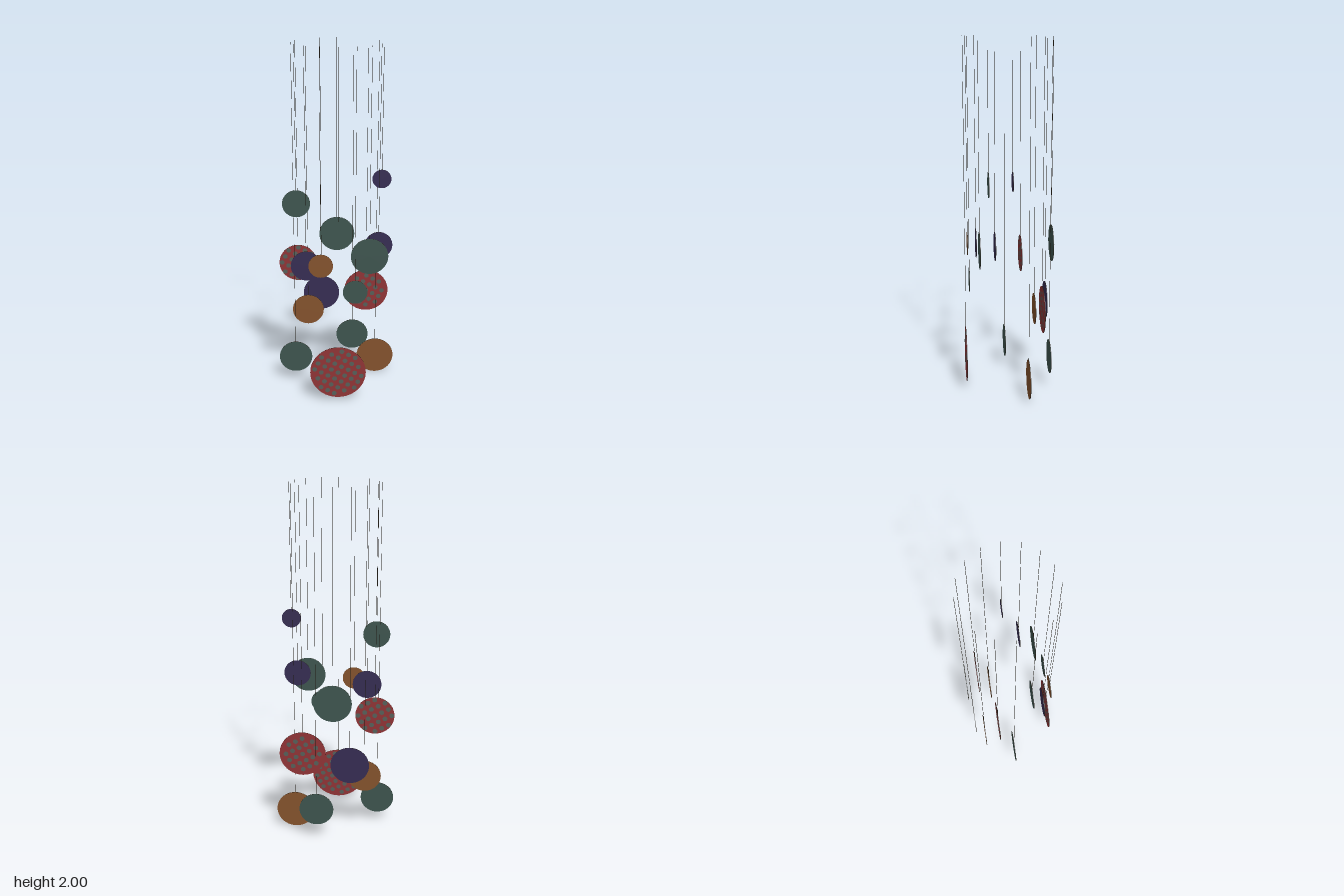
import * as THREE from 'three';

const mat = (name, color) => {
  const m = new THREE.MeshStandardMaterial({ color });
  m.name = name;
  return m;
};

export function createModel() {
  const teal = mat('teal', 0x3e554f);
  const purple = mat('purple', 0x362d53);
  const brown = mat('brown', 0x85532d);
  const red = mat('red', 0x913436);
  const dotGrey = mat('dotGrey', 0x57605a);
  const dark = mat('darkRim', 0x1f1a12);

  const RING = 0.247, TOP = 2, THICK = 0.003;

  // Hanging discs around the ring, starting at the front: face, centre height, radius
  const discs = [
    [red, 0.183, 0.158], [teal, 0.67, 0.068], [teal, 0.86, 0.103], [purple, 0.897, 0.077],
    [purple, 1.253, 0.053], [brown, 0.111, 0.11], [red, 0.508, 0.131], [teal, 0.188, 0.097],
    [teal, 0.845, 0.105], [purple, 0.47, 0.108], [brown, 0.382, 0.094], [red, 0.72, 0.11],
    [teal, 0.155, 0.097], [teal, 1.14, 0.077], [purple, 0.805, 0.085], [brown, 0.825, 0.067],
  ];

  // Staggered dots on both faces of a disc
  function addDots(parent, radius) {
    const step = 0.03, dotRadius = 0.014, turn = 0.3;
    const geo = new THREE.CircleGeometry(dotRadius, 12);
    for (let i = -8; i <= 8; i++) {
      for (let j = -8; j <= 8; j++) {
        if ((i + j) % 2 !== 0) continue;
        const x = (i * Math.cos(turn) - j * Math.sin(turn)) * step;
        const y = (i * Math.sin(turn) + j * Math.cos(turn)) * step;
        if (Math.hypot(x, y) + dotRadius > radius) continue;
        for (const side of [1, -1]) {
          const dot = new THREE.Mesh(geo, dotGrey);
          dot.name = 'dot';
          dot.position.set(x, y, side * (THICK / 2 + 0.001));
          if (side < 0) dot.rotation.y = Math.PI;
          parent.add(dot);
        }
      }
    }
  }

  const model = new THREE.Group();
  model.name = 'hangingDiscs';

  discs.forEach(([face, y, radius], i) => {
    const angle = (i / discs.length) * Math.PI * 2;
    const pendant = new THREE.Group();
    pendant.name = 'pendant';
    pendant.position.set(RING * Math.sin(angle), y, RING * Math.cos(angle));

    // Flat disc facing forward, with a dark rim
    const geo = new THREE.CylinderGeometry(radius, radius, THICK, 40).rotateX(Math.PI / 2);
    const disc = new THREE.Mesh(geo, [dark, face, face]);
    disc.name = 'disc';
    pendant.add(disc);
    if (face === red) addDots(pendant, radius);

    // Thin string up to the common top level
    const length = TOP - y - radius;
    const string = new THREE.Mesh(new THREE.CylinderGeometry(0.001, 0.001, length, 6), dark);
    string.name = 'string';
    string.position.y = radius + length / 2;
    pendant.add(string);

    model.add(pendant);
  });

  return model;
}
